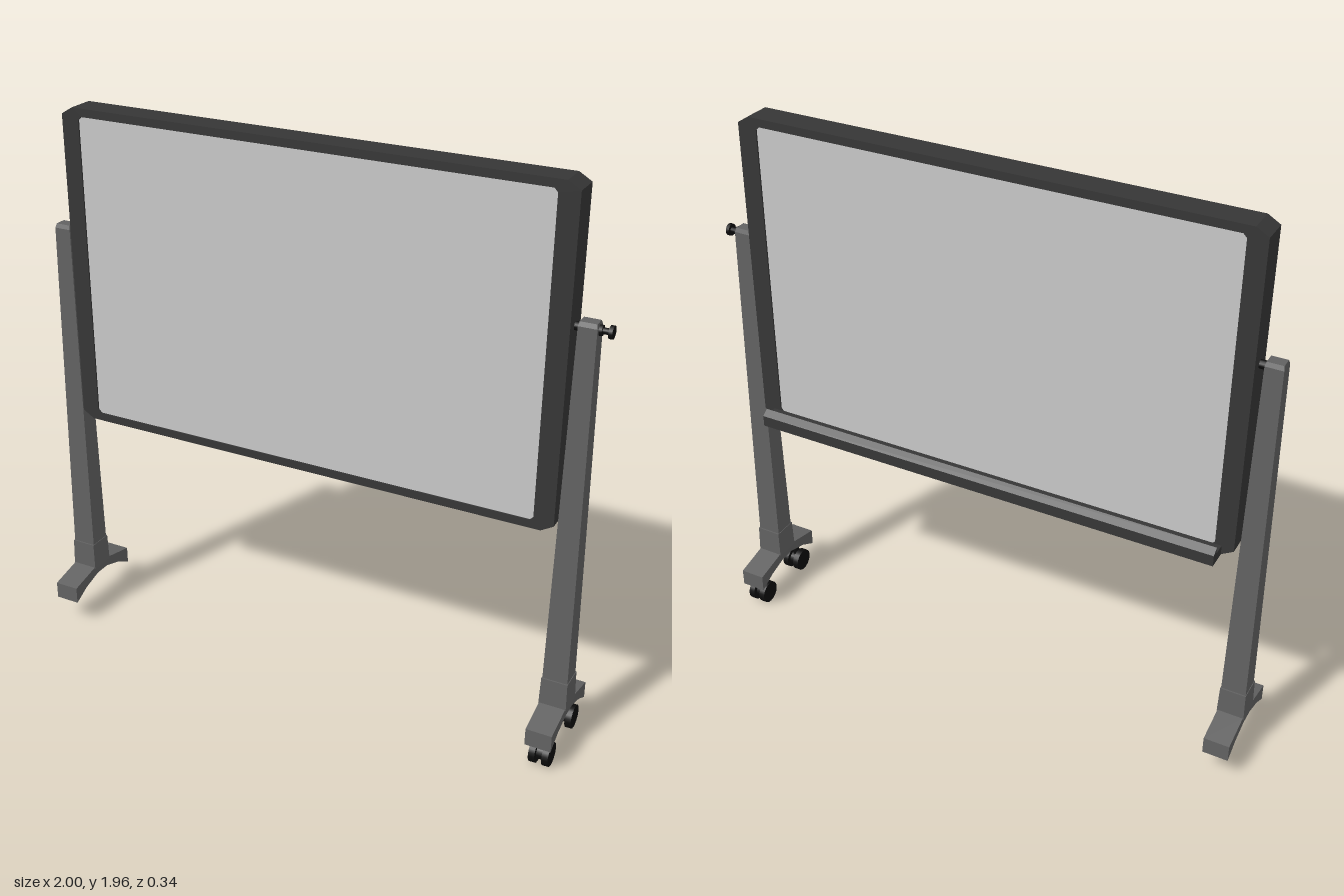
import * as THREE from 'three';

const mat = (name, color) => {
  const m = new THREE.MeshStandardMaterial({ color });
  m.name = name;
  return m;
};

export function createModel() {
  const model = new THREE.Group();
  model.name = 'mobileBoard';
  const frameMat = mat('charcoal frame', 0x363636);
  const postMat = mat('grey metal', 0x626262);
  const panelMat = mat('light board', 0xc8c8c8);
  const blackMat = mat('black plastic', 0x0d0d0d);

  const add = (parent, name, geo, material, x = 0, y = 0, z = 0) => {
    const mesh = new THREE.Mesh(geo, material);
    mesh.name = name;
    mesh.position.set(x, y, z);
    parent.add(mesh);
    return mesh;
  };
  const polygon = pts => new THREE.Shape(pts.map(p => new THREE.Vector2(...p)));
  const extrude = (shape, depth) =>
    new THREE.ExtrudeGeometry(shape, { depth, bevelEnabled: false, curveSegments: 4 })
      .translate(0, 0, -depth / 2);
  // Extrude a (z, y) profile along x
  const extrudeX = (pts, width) =>
    extrude(polygon(pts.map(([z, y]) => [-z, y])), width).rotateY(Math.PI / 2);
  // Box whose top is narrower than its bottom, standing on y = 0
  const taperedBox = (w0, d0, w1, d1, h) => {
    const geo = new THREE.BoxGeometry(1, h, 1).translate(0, h / 2, 0);
    const p = geo.attributes.position;
    for (let i = 0; i < p.count; i++) {
      const top = p.getY(i) > h / 2;
      p.setX(i, p.getX(i) * (top ? w1 : w0));
      p.setZ(i, p.getZ(i) * (top ? d1 : d0));
    }
    geo.computeVertexNormals();
    return geo;
  };
  // Outline with cut corners
  const cutRect = (x0, x1, y0, y1, cx, cy) => [
    [x0 + cx, y0], [x1 - cx, y0], [x1, y0 + cy], [x1, y1 - cy],
    [x1 - cx, y1], [x0 + cx, y1], [x0, y1 - cy], [x0, y0 + cy],
  ];

  // Board frame with opening
  const frame = polygon(cutRect(-0.902, 0.88, 0.828, 1.96, 0.042, 0.025));
  frame.holes.push(new THREE.Path(
    cutRect(-0.838, 0.812, 0.856, 1.932, 0.012, 0.012).reverse().map(p => new THREE.Vector2(...p))));
  add(model, 'boardFrame', extrude(frame, 0.095), frameMat);

  // Writing surface, slightly recessed on both sides
  add(model, 'writingSurface', new THREE.BoxGeometry(1.66, 1.086, 0.084), panelMat, -0.013, 1.394, 0);

  // Pen tray along the lower back edge
  add(model, 'penTray', extrudeX([
    [-0.046, 0.828], [-0.046, 0.862], [-0.094, 0.862], [-0.094, 0.886],
    [-0.117, 0.868], [-0.117, 0.828],
  ], 1.7), frameMat, -0.011, 0, 0);

  // Two stands: post, collar and splayed foot
  for (const [name, x] of [['rightStand', -0.953], ['leftStand', 0.925]]) {
    const stand = new THREE.Group();
    stand.name = name;
    stand.position.x = x;
    model.add(stand);
    add(stand, 'post', taperedBox(0.088, 0.082, 0.06, 0.052, 1.332), postMat, 0, 0.19, 0);
    add(stand, 'postCap', taperedBox(0.06, 0.052, 0.054, 0.04, 0.014), postMat, 0, 1.522, 0);
    add(stand, 'collar', taperedBox(0.095, 0.094, 0.09, 0.09, 0.1), postMat, 0, 0.178, 0);
    add(stand, 'foot', extrudeX([
      [0.168, 0.093], [0.168, 0.155], [0.045, 0.182], [-0.045, 0.182], [-0.168, 0.155],
      [-0.168, 0.093], [-0.105, 0.127], [-0.03, 0.15], [0.03, 0.15], [0.105, 0.127],
    ], 0.09), postMat);
  }

  // Twin-wheel casters under the left foot
  for (const z of [0.114, -0.114]) {
    const caster = new THREE.Group();
    caster.name = 'caster';
    caster.position.set(0.925, 0.042, z);
    model.add(caster);
    for (const s of [-1, 1]) {
      add(caster, 'wheel', new THREE.CylinderGeometry(0.042, 0.042, 0.022, 20).rotateZ(Math.PI / 2),
        blackMat, s * 0.023, 0, 0);
    }
    add(caster, 'axle', new THREE.CylinderGeometry(0.026, 0.026, 0.03, 16).rotateZ(Math.PI / 2), blackMat);
    add(caster, 'stem', new THREE.CylinderGeometry(0.01, 0.01, 0.09, 10), blackMat, 0, 0.045, 0);
  }

  // Pivots between posts and frame, and the tightening knob
  const rod = (name, r, x0, x1) => add(model, name,
    new THREE.CylinderGeometry(r, r, x1 - x0, 12).rotateZ(Math.PI / 2), blackMat, (x0 + x1) / 2, 1.512, 0);
  rod('rightPivot', 0.014, -0.94, -0.895);
  rod('leftPivot', 0.014, 0.87, 0.91);
  rod('knobShaft', 0.01, 0.94, 0.99);
  rod('knobWasher', 0.017, 0.952, 0.965);
  rod('knobHead', 0.021, 0.986, 0.998);

  return model;
}
